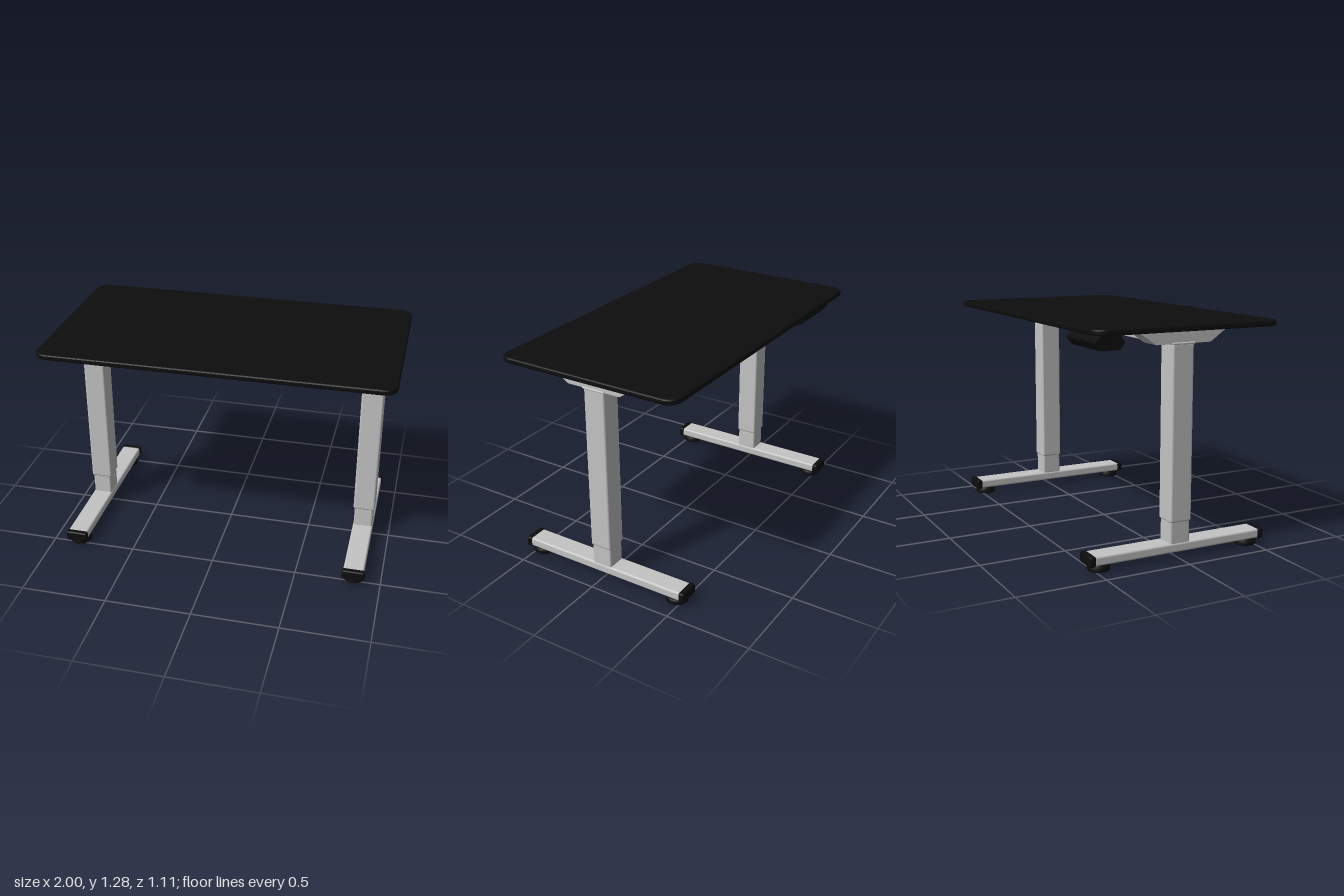
import * as THREE from 'three';
import { RoundedBoxGeometry } from 'three/addons/geometries/RoundedBoxGeometry.js';

const black = new THREE.MeshStandardMaterial({ color: 0x0d0d0d });
black.name = 'matt black';
const grey = new THREE.MeshStandardMaterial({ color: 0xc4c4c4 });
grey.name = 'light grey metal';

function add(parent, name, geometry, material, x = 0, y = 0, z = 0) {
  const mesh = new THREE.Mesh(geometry, material);
  mesh.name = name;
  mesh.position.set(x, y, z);
  parent.add(mesh);
  return mesh;
}

// Rounded box spanning y0..y1
function block(parent, name, material, w, y0, y1, d, r, x = 0, z = 0) {
  const geometry = new RoundedBoxGeometry(w, y1 - y0, d, 3, r);
  return add(parent, name, geometry, material, x, (y0 + y1) / 2, z);
}

function roundedRect(w, d, r) {
  const s = new THREE.Shape();
  const x = w / 2, y = d / 2;
  s.moveTo(-x + r, -y);
  s.lineTo(x - r, -y);
  s.absarc(x - r, -y + r, r, -Math.PI / 2, 0);
  s.absarc(x - r, y - r, r, 0, Math.PI / 2);
  s.absarc(-x + r, y - r, r, Math.PI / 2, Math.PI);
  s.absarc(-x + r, -y + r, r, Math.PI, Math.PI * 1.5);
  return s;
}

// Extrudes a [z, y] profile along x, centred on x = 0
function profileAlongX(points, width) {
  const shape = new THREE.Shape(points.map(([z, y]) => new THREE.Vector2(-z, y)));
  const geometry = new THREE.ExtrudeGeometry(shape, { depth: width, bevelEnabled: false });
  geometry.translate(0, 0, -width / 2);
  geometry.rotateY(Math.PI / 2);
  return geometry;
}

function createTop() {
  const top = new THREE.Group();
  top.name = 'tableTop';
  const b = 0.01;
  const slab = new THREE.ExtrudeGeometry(roundedRect(2 - 2 * b, 1.11 - 2 * b, 0.065), {
    depth: 0.032 - 2 * b, bevelThickness: b, bevelSize: b, bevelSegments: 4, curveSegments: 10,
  });
  slab.rotateX(-Math.PI / 2);
  add(top, 'topSlab', slab, black, 0, 1.246 + b, 0);
  // Grey face under the slab
  const under = new THREE.ShapeGeometry(roundedRect(1.98, 1.09, 0.065), 10);
  under.rotateX(Math.PI / 2);
  add(top, 'underside', under, grey, 0, 1.2445, 0);
  return top;
}

function createLeg() {
  const leg = new THREE.Group();
  leg.name = 'leg';
  block(leg, 'outerColumn', grey, 0.128, 0.207, 1.176, 0.13, 0.012);
  block(leg, 'innerColumn', grey, 0.112, 0.07, 0.23, 0.122, 0.012);
  block(leg, 'columnCollar', grey, 0.14, 1.168, 1.18, 0.14, 0.005);
  // Trapezoid bracket under the top
  add(leg, 'topBracket', profileAlongX(
    [[-0.265, 1.246], [-0.255, 1.235], [-0.165, 1.173], [0.165, 1.173], [0.255, 1.235], [0.265, 1.246]],
    0.125), grey);
  block(leg, 'footBar', grey, 0.12, 0.039, 0.092, 1.04, 0.012);

  // Stepped levelling pad
  const pad = new THREE.LatheGeometry([
    [0, 0], [0.056, 0], [0.062, 0.005], [0.062, 0.024], [0.056, 0.029], [0.05, 0.032], [0.05, 0.042], [0, 0.042],
  ].map(([r, y]) => new THREE.Vector2(r, y)), 32);
  for (const side of [-1, 1]) {
    block(leg, 'footEndCap', black, 0.128, 0.036, 0.095, 0.036, 0.01, 0, side * 0.527);
    add(leg, 'levellingPad', pad, black, 0, 0, side * 0.466);
  }
  return leg;
}

export function createModel() {
  const desk = new THREE.Group();
  desk.name = 'standingDesk';
  desk.add(createTop());

  for (const side of [-1, 1]) {
    const leg = createLeg();
    leg.position.x = side * 0.842;
    desk.add(leg);
  }

  // Beam joining the legs
  block(desk, 'crossBeam', grey, 1.58, 1.16, 1.246, 0.23, 0.006, 0, 0.05);
  block(desk, 'beamTab', grey, 0.25, 1.153, 1.162, 0.02, 0.002, -0.65, 0.15);

  // Control box at the back
  add(desk, 'controlBox', profileAlongX(
    [[-0.5, 1.2], [-0.495, 1.187], [-0.468, 1.156], [-0.36, 1.158], [-0.333, 1.192],
      [-0.334, 1.2], [-0.37, 1.246], [-0.46, 1.246]],
    0.34), black, -0.71);
  return desk;
}
